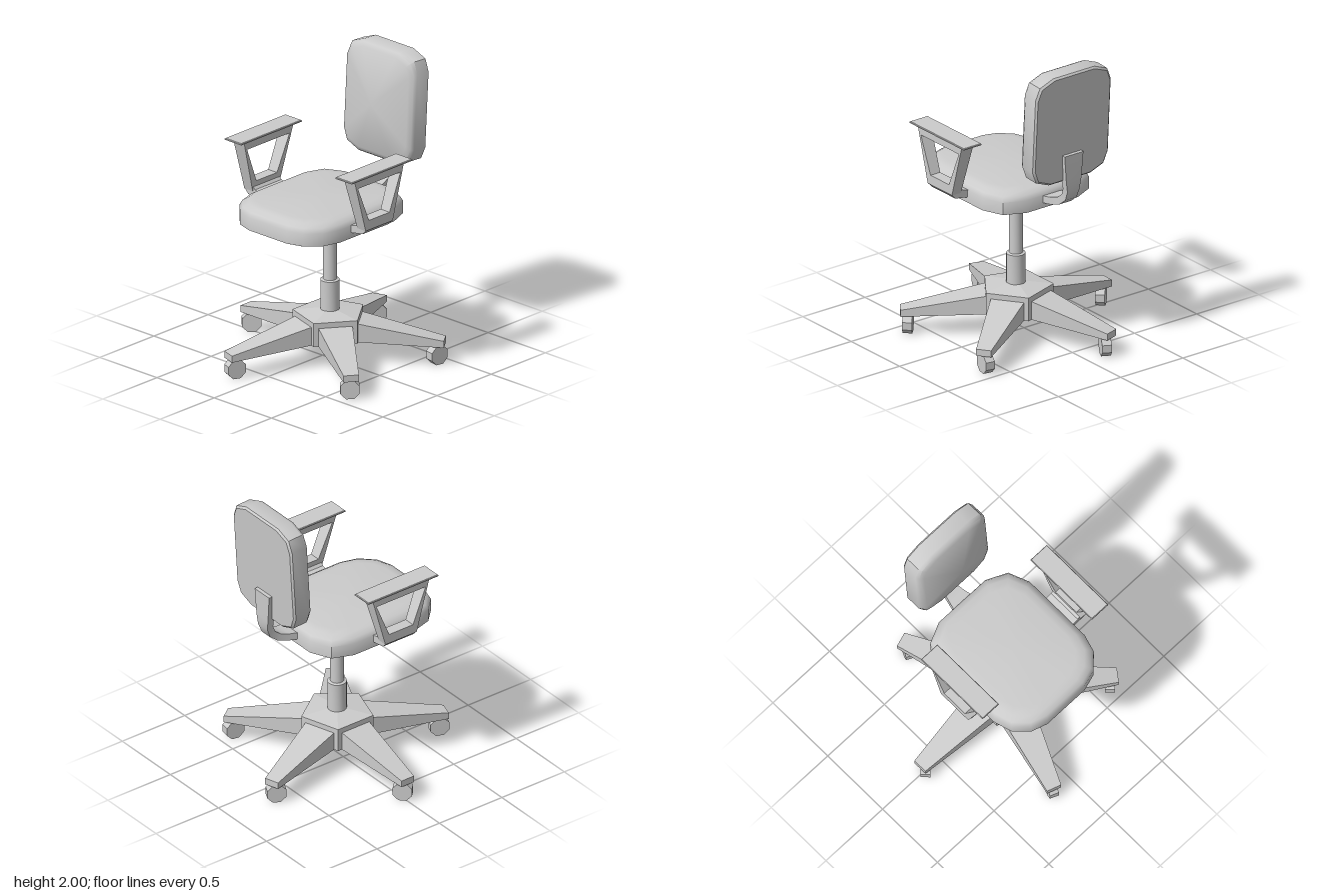
import * as THREE from 'three';
import { toCreasedNormals } from 'three/addons/utils/BufferGeometryUtils.js';

const CX = 0.065; // column axis
const smooth = new THREE.MeshStandardMaterial({ color: 0xcccccc });
const flat = new THREE.MeshStandardMaterial({ color: 0xcccccc, flatShading: true });
const V = (x, y, z) => new THREE.Vector3(x, y, z);

// Skin counter-clockwise loops stacked along their axis, closed by fans to two end points
function loft(loops, start, end) {
  const pos = [];
  const tri = (...pts) => pts.forEach((p) => pos.push(p.x, p.y, p.z));
  const n = loops[0].length;
  const last = loops[loops.length - 1];
  for (let i = 0; i < n; i++) {
    const j = (i + 1) % n;
    tri(start, loops[0][j], loops[0][i]);
    for (let k = 0; k < loops.length - 1; k++) {
      const a = loops[k], b = loops[k + 1];
      tri(a[i], a[j], b[j]);
      tri(a[i], b[j], b[i]);
    }
    tri(end, last[i], last[j]);
  }
  const geo = new THREE.BufferGeometry();
  geo.setAttribute('position', new THREE.Float32BufferAttribute(pos, 3));
  geo.computeVertexNormals();
  return geo;
}

const mirrorV = (half) => [...half, ...half.slice().reverse().map(([u, v]) => [u, -v])];
const inset = (pts, hu, hv, d) => pts.map(([u, v]) => [u * (1 - d / hu), v * (1 - d / hv)]);
const corners = [[1, 1], [-1, 1], [-1, -1], [1, -1]];

function add(parent, name, geo, mat, x = 0, y = 0, z = 0) {
  const mesh = new THREE.Mesh(geo, mat);
  mesh.name = name;
  mesh.position.set(x, y, z);
  parent.add(mesh);
  return mesh;
}

// Seat cushion: outline in (z, x), rounded over the top
function seatGeometry() {
  const outline = mirrorV([[0.475, 0.165], [0.44, 0.275], [0.35, 0.365], [0.23, 0.4],
    [-0.27, 0.4], [-0.41, 0.345], [-0.475, 0.205]]);
  const layers = [[0.99, 0.02], [1.0, 0], [1.085, 0], [1.115, 0.015], [1.137, 0.05], [1.145, 0.1]];
  const loops = layers.map(([y, d]) => inset(outline, 0.475, 0.4, d).map(([z, x]) => V(x, y, z)));
  return toCreasedNormals(loft(loops, V(0, 0.99, 0), V(0, 1.147, 0)), 0.75);
}

// Backrest: outline in (x, y), front swelling to a shallow pyramid
function backrestGeometry() {
  const outline = mirrorV([[0.302, 0.255], [0.27, 0.335], [0.165, 0.377],
    [-0.165, 0.377], [-0.27, 0.335], [-0.302, 0.255]]);
  const layers = [[0, 0.012], [0.012, 0], [0.115, 0], [0.137, 0.012], [0.153, 0.04]];
  const loops = layers.map(([z, d]) => inset(outline, 0.302, 0.377, d).map(([x, y]) => V(x, y, z)));
  return toCreasedNormals(loft(loops, V(0, 0, 0), V(0, 0, 0.215)), 0.7);
}

// Bent strap from the seat to the backrest, narrow at the bend: [z, y, half width]
function strapGeometry() {
  const path = [[-0.33, 1.055, 0.085], [-0.43, 1.065, 0.062], [-0.5, 1.085, 0.048],
    [-0.55, 1.125, 0.045], [-0.572, 1.18, 0.048], [-0.575, 1.25, 0.06], [-0.578, 1.43, 0.075]];
  const loops = path.map(([z, y, w], i) => {
    const p = path[Math.max(i - 1, 0)], q = path[Math.min(i + 1, path.length - 1)];
    const side = V(0, q[1] - p[1], q[0] - p[0]).normalize().cross(V(1, 0, 0));
    return corners.map(([s, t]) => V(s * w, y, z).addScaledVector(side, t * 0.024));
  });
  const mid = ([z, y]) => V(0, y, z);
  return toCreasedNormals(loft(loops, mid(path[0]), mid(path[path.length - 1])), 0.7);
}

const polygon = (pts) => pts.map(([x, y]) => new THREE.Vector2(x, y));

// Armrest: pad, trapezoid loop and bracket, facing +x
function createArmrest() {
  const arm = new THREE.Group();
  arm.name = 'armrest';

  const pad = [[1.449, 0.057, 0.265], [1.456, 0.072, 0.28], [1.463, 0.072, 0.28], [1.467, 0.068, 0.276]]
    .map(([y, hx, hz]) => corners.map(([s, t]) => V(t * hx, y, s * hz)));
  add(arm, 'armPad', loft(pad, V(0, 1.449, 0), V(0, 1.467, 0)), flat, 0.483);

  const shape = new THREE.Shape(polygon([[-0.125, 1.085], [0.125, 1.085], [0.228, 1.452], [-0.228, 1.452]]));
  shape.holes.push(new THREE.Path(polygon([[-0.095, 1.15], [-0.196, 1.395], [0.196, 1.395], [0.095, 1.15]])));
  const frame = new THREE.ExtrudeGeometry(shape, { depth: 0.095, bevelEnabled: false });
  frame.rotateY(Math.PI / 2).translate(0.435, 0, 0);
  // Inner face leans outwards towards the bottom
  const p = frame.attributes.position;
  for (let i = 0; i < p.count; i++) {
    if (p.getX(i) < 0.5) p.setX(i, 0.435 + 0.022 * (1.452 - p.getY(i)) / 0.367);
  }
  add(arm, 'armFrame', frame, flat);

  const bracket = new THREE.ExtrudeGeometry(
    new THREE.Shape(polygon([[0.53, 1.087], [0.5, 1.055], [0.38, 1.035], [0.38, 1.085], [0.44, 1.098], [0.46, 1.12], [0.529, 1.12]].reverse())),
    { depth: 0.244, bevelEnabled: false });
  add(arm, 'armBracket', bracket, flat, 0, 0, -0.122);
  return arm;
}

// Caster: octagonal wheel under a small stem
function createCaster(yaw) {
  const caster = new THREE.Group();
  caster.name = 'caster';
  const wheel = new THREE.CylinderGeometry(0.067, 0.067, 0.062, 8).rotateY(Math.PI / 8).rotateX(Math.PI / 2);
  add(caster, 'wheel', wheel, flat, 0, 0.067, 0);
  add(caster, 'casterStem', new THREE.BoxGeometry(0.055, 0.05, 0.055), flat, 0, 0.122, 0);
  caster.rotation.y = yaw;
  return caster;
}

export function createModel() {
  const chair = new THREE.Group();
  chair.name = 'officeChair';

  add(chair, 'seat', seatGeometry(), smooth, CX, 0, 0.1);
  add(chair, 'backrest', backrestGeometry(), smooth, CX, 1.617, -0.588).rotation.x = -0.06;
  add(chair, 'backSupport', strapGeometry(), smooth, CX);

  for (const turn of [0, Math.PI]) {
    const arm = createArmrest();
    arm.position.set(CX, 0, 0.105);
    arm.rotation.y = turn;
    chair.add(arm);
  }

  // Gas column with a flared collar under the seat
  const profile = [[0, 0.32], [0.062, 0.32], [0.062, 0.545], [0.044, 0.55], [0.044, 0.94],
    [0.075, 0.965], [0.075, 0.992], [0, 0.992]];
  const column = new THREE.LatheGeometry(polygon(profile), 20);
  add(chair, 'column', toCreasedNormals(column, 0.6), smooth, CX);

  // Five-sided hub
  const start = Math.PI / 2;
  add(chair, 'hub', new THREE.CylinderGeometry(0.24, 0.24, 0.16, 5, 1, false, start), flat, CX, 0.245);
  add(chair, 'hubCap', new THREE.CylinderGeometry(0.062, 0.24, 0.022, 5, 1, false, start), flat, CX, 0.336);

  // Tapered legs with casters swivelled at different angles
  const legLoops = [[0.19, 0.165, 0.29, 0.11], [0.735, 0.13, 0.175, 0.05]].map(([r, lo, hi, w]) =>
    corners.map(([s, t]) => V(r, s > 0 ? hi : lo, t * w)));
  const legGeo = loft(legLoops, V(0.19, 0.22, 0), V(0.735, 0.152, 0));
  const yaws = [0.78, 1.2, 0.8, 1.4, 1.1];
  yaws.forEach((yaw, i) => {
    const leg = new THREE.Group();
    leg.name = 'leg';
    leg.position.x = CX;
    const angle = Math.PI + (i * Math.PI * 2) / 5;
    leg.rotation.y = angle;
    add(leg, 'legBeam', legGeo, flat);
    const caster = createCaster(yaw - angle);
    caster.position.x = 0.685;
    leg.add(caster);
    chair.add(leg);
  });
  return chair;
}
